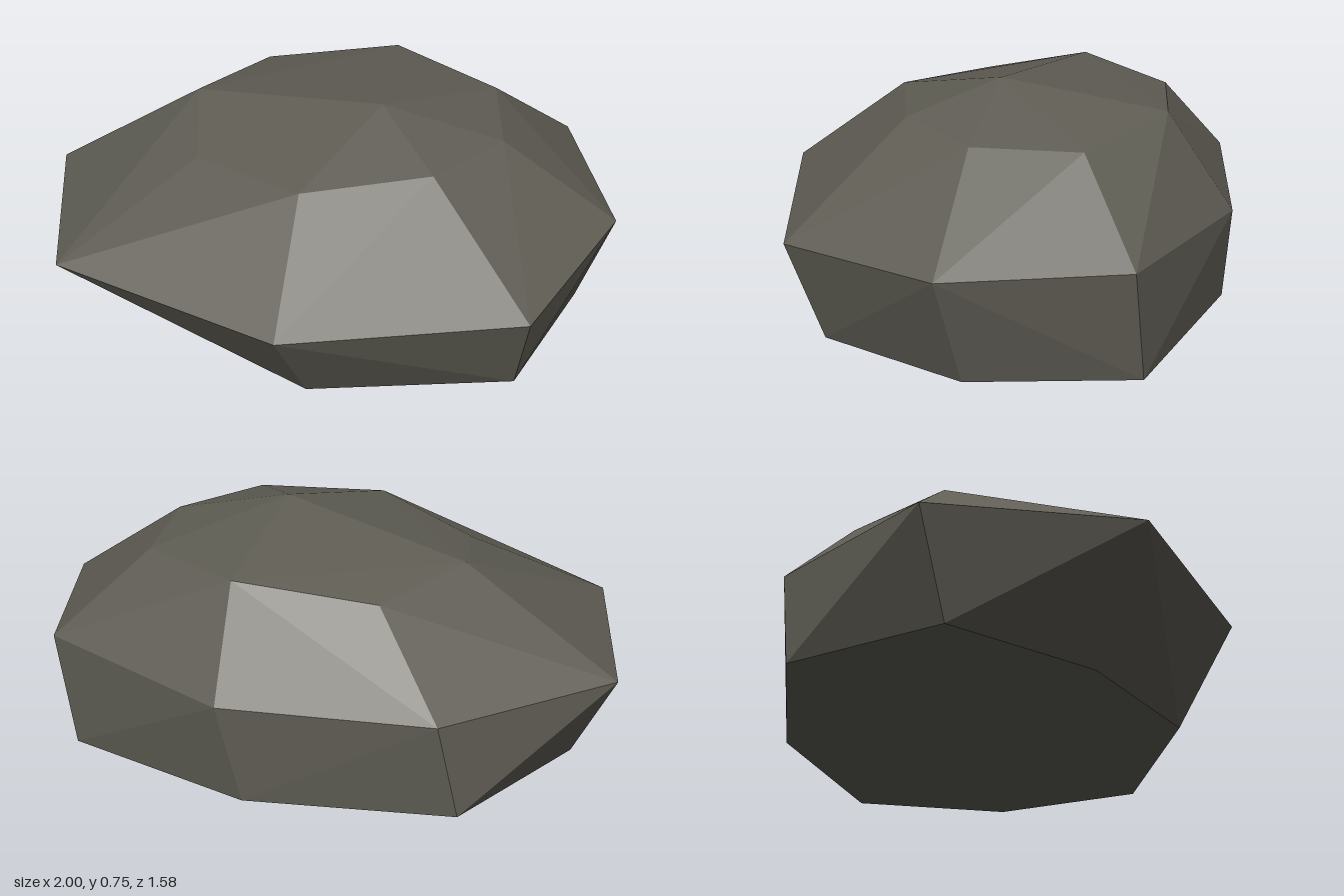
import * as THREE from 'three';
import { ConvexGeometry } from 'three/addons/geometries/ConvexGeometry.js';

// Faceted boulder: three uneven eight-point rings and a peak, wrapped in a convex shell.
export function createModel() {
  const group = new THREE.Group();
  group.name = 'boulder';

  const stone = new THREE.MeshStandardMaterial({ color: 0x5f5d54 });
  stone.name = 'dark stone';

  // Each ring runs from +x round through +z, as [x, y, z]
  const baseRing = [
    [0.89, 0, -0.09], [0.72, 0, 0.42], [0.05, 0, 0.59], [-0.47, 0, 0.33],
    [-0.85, 0, -0.09], [-0.61, 0, -0.61], [0.06, 0, -0.76], [0.73, 0, -0.62],
  ];
  const waistRing = [
    [1, 0.37, -0.04], [0.76, 0.33, 0.53], [-0.01, 0.34, 0.785], [-0.81, 0.33, 0.51],
    [-1, 0.32, -0.15], [-0.55, 0.33, -0.65], [0.13, 0.34, -0.79], [0.8, 0.38, -0.6],
  ];
  const shoulderRing = [
    [0.6, 0.65, -0.03], [0.4, 0.66, 0.24], [-0.01, 0.64, 0.39], [-0.4, 0.6, 0.19],
    [-0.48, 0.66, -0.15], [-0.3, 0.625, -0.48], [0.16, 0.673, -0.57], [0.54, 0.645, -0.38],
  ];
  const peak = [0.19, 0.752, -0.02];

  const points = [...baseRing, ...waistRing, ...shoulderRing, peak]
    .map((p) => new THREE.Vector3(...p));
  const rock = new THREE.Mesh(new ConvexGeometry(points), stone);
  rock.name = 'rock';
  group.add(rock);
  return group;
}
